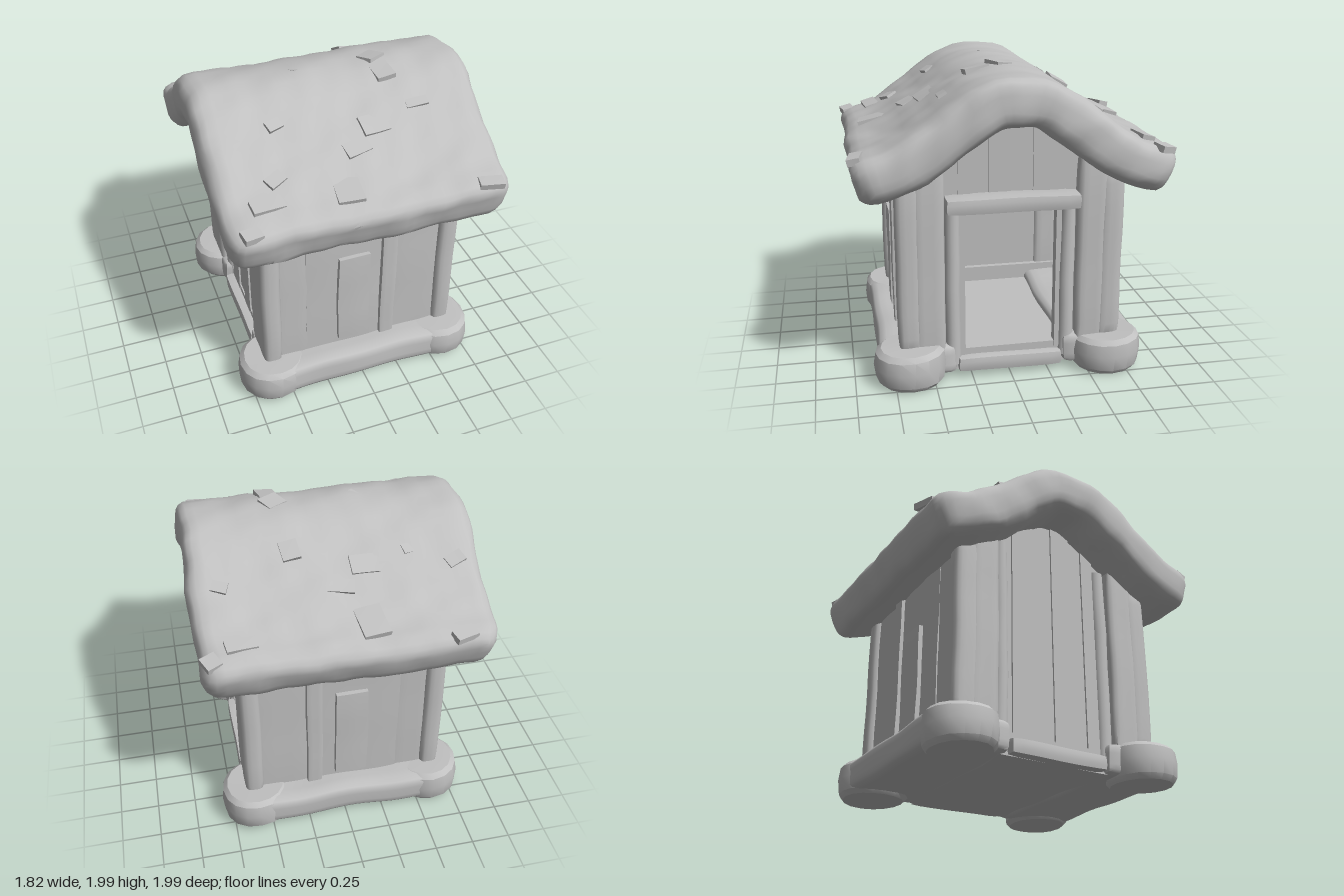
import * as THREE from 'three';
import { mergeVertices, toCreasedNormals } from 'three/addons/utils/BufferGeometryUtils.js';

const stone = new THREE.MeshStandardMaterial({ color: 0xc0c0c0 });
stone.name = 'plainGrey';

// Smooth, repeatable unevenness
const wave = (a, b, c) =>
  (Math.sin(a * 9.1 + b * 4.3 + 1.7) + Math.sin(b * 11.3 - c * 7.9 + 0.4) + Math.sin(c * 13.7 + a * 6.1)) / 3;

// Move every vertex by a rule
function deform(geometry, rule) {
  const pos = geometry.attributes.position;
  const v = new THREE.Vector3();
  for (let i = 0; i < pos.count; i++) {
    v.fromBufferAttribute(pos, i);
    rule(v);
    pos.setXYZ(i, v.x, v.y, v.z);
  }
  return geometry;
}

function finish(geometry, crease = 0.75) {
  geometry.deleteAttribute('uv');
  geometry.deleteAttribute('normal');
  const merged = mergeVertices(geometry, 1e-4);
  merged.computeVertexNormals();
  return toCreasedNormals(merged, crease);
}

// Subdivided box with rounded edges
function softBox(w, h, d, r, sx, sy, sz) {
  const half = new THREE.Vector3(w / 2 - r, h / 2 - r, d / 2 - r);
  const min = half.clone().negate();
  const core = new THREE.Vector3();
  return deform(new THREE.BoxGeometry(w, h, d, sx, sy, sz), (v) => {
    core.copy(v).clamp(min, half);
    v.sub(core).setLength(r).add(core);
  });
}

function roughen(geometry, amount, seed = 0, scale = 1) {
  return deform(geometry, (v) => {
    const [x, y, z] = [v.x * scale, v.y * scale, v.z * scale];
    v.x += amount * wave(y + seed, z, x);
    v.y += amount * wave(z, x + seed, y);
    v.z += amount * wave(x, y, z + seed);
  });
}

// Roof centre line, running from back eave to front eave
const half = [[0.95, 1.355], [0.68, 1.455], [0.455, 1.595], [0.22, 1.765], [0.11, 1.815]];
const roofLine = new THREE.CatmullRomCurve3([
  ...half.map(([z, y]) => new THREE.Vector3(0, y, -z)),
  new THREE.Vector3(0, 1.825, 0),
  ...[...half].reverse().map(([z, y]) => new THREE.Vector3(0, y, z)),
]);

function roofFrame(u) {
  const p = roofLine.getPointAt(u);
  const t = roofLine.getTangentAt(u);
  return { p, n: new THREE.Vector3(0, t.z, -t.y) };
}

// Frame at the place where the outer roof skin has the given z
function roofFrameAtZ(z) {
  let best = null;
  for (let i = 0; i <= 100; i++) {
    const f = roofFrame(i / 100);
    f.miss = Math.abs(f.p.z + f.n.z * 0.14 - z);
    if (!best || f.miss < best.miss) best = f;
  }
  return best;
}

export function createModel() {
  const model = new THREE.Group();
  const add = (name, geometry, x = 0, y = 0, z = 0) => {
    const mesh = new THREE.Mesh(geometry, stone);
    mesh.name = name;
    mesh.position.set(x, y, z);
    model.add(mesh);
    return mesh;
  };
  const board = (name, x0, x1, y0, y1, z0, z1) =>
    add(name, new THREE.BoxGeometry(x1 - x0, y1 - y0, z1 - z0), (x0 + x1) / 2, (y0 + y1) / 2, (z0 + z1) / 2);
  const log = (name, x, z, r, y0, y1) => {
    const g = new THREE.CylinderGeometry(r * 0.97, r, y1 - y0, 14, 6);
    add(name, finish(roughen(g, 0.006, x * 3 + z)), x, (y0 + y1) / 2, z);
  };

  // Thick thatched roof: a soft slab bent over the centre line
  const length = roofLine.getLength();
  const slab = softBox(1.79, 0.285, length + 0.02, 0.1, 30, 6, 40);
  deform(slab, (v) => {
    const u = THREE.MathUtils.clamp(v.z / length + 0.5, 0, 1);
    const { p, n } = roofFrame(u);
    const x = v.x * (1 - 0.04 * Math.pow(Math.abs(2 * u - 1), 6));
    v.set(x, p.y + n.y * v.y, p.z + n.z * v.y);
  });
  roughen(slab, 0.012);
  roughen(slab, 0.009, 3, 2.6);
  add('roof', finish(slab, 0.7));

  // Loose tufts on the roof: x, z, width, depth, turn
  const tufts = [
    [-0.14, -0.78, 0.16, 0.21, 0.1], [-0.16, -0.47, 0.17, 0.12, 0], [0, -0.57, 0.16, 0.09, -0.2],
    [0.27, -0.36, 0.11, 0.13, 0.1], [0.3, 0.03, 0.13, 0.12, 0.5], [0.32, 0.18, 0.12, 0.15, 0.1],
    [0.15, 0.46, 0.17, 0.12, 0.1], [0, 0.56, 0.16, 0.1, 0.2], [-0.13, 0.78, 0.16, 0.21, -0.1],
    [-0.62, 0.78, 0.2, 0.1, 0.1], [0.64, -0.82, 0.19, 0.08, 0.1], [-0.46, -0.41, 0.1, 0.06, 0.2],
    [-0.72, -0.5, 0.12, 0.08, 0.4], [0.71, -0.5, 0.1, 0.07, -0.4], [0.46, 0.4, 0.15, 0.06, 0],
    [-0.45, 0.38, 0.1, 0.07, 0.3], [-0.53, 0.65, 0.12, 0.08, 0.5], [-0.2, 0.03, 0.07, 0.06, 0.6],
    [-0.76, 0.93, 0.12, 0.08, 0.2], [0.72, 0.93, 0.16, 0.08, -0.2],
    [-0.66, -0.93, 0.16, 0.08, 0.3], [0.82, -0.89, 0.1, 0.1, 0.4],
  ];
  tufts.forEach(([x, z, w, d, turn], i) => {
    const { p, n } = roofFrameAtZ(z);
    const g = roughen(new THREE.BoxGeometry(w, 0.04, d, 2, 1, 2), 0.01, i);
    const tuft = add('roofTuft', finish(g, 0.5), x, p.y + n.y * 0.138, p.z + n.z * 0.138);
    tuft.rotation.set(Math.atan2(n.z, n.y) - 0.12 * Math.sign(z), turn, 0.06 * (i % 3 - 1));
  });

  // Floor and flat ceiling
  board('floor', -0.6, 0.6, 0.045, 0.19, -0.55, 0.55);
  board('ceiling', -0.55, 0.56, 1.13, 1.17, -0.64, 0.64);

  for (const side of [-1, 1]) {
    // Foundation beam with round corner stones
    const beam = softBox(1.32, 0.2, 0.5, 0.045, 22, 6, 10);
    add('foundationBeam', finish(roughen(beam, 0.013, side), 0.8), 0, 0.14, side * 0.59);
    for (const end of [-1, 1]) {
      const profile = [[0, 0], [0.195, 0], [0.22, 0.03], [0.23, 0.12], [0.22, 0.2], [0.19, 0.23], [0, 0.235]]
        .map(([r, y]) => new THREE.Vector2(r, y));
      const disc = roughen(new THREE.LatheGeometry(profile, 16), 0.012, side * 2 + end);
      add('cornerStone', finish(disc, 0.6), end * 0.592, 0.015, side * 0.643);

      // Corner post and the broad plank beside it
      const corner = softBox(0.13, 1.27, 0.16, 0.045, 5, 8, 5);
      add('cornerPost', finish(roughen(corner, 0.005, side), 0.9), end * 0.6, 0.785, side * 0.64);
      const broad = softBox(0.15, 1.36, 0.2, 0.035, 5, 8, 6);
      add('broadCornerPlank', finish(roughen(broad, 0.005, end), 0.9), end * 0.588, 0.83, side * 0.52);
    }

    // Long wall: a core board faced with softened planks of uneven depth
    const core = [side * 0.6, side * 0.67].sort((a, b) => a - b);
    board('wallCore', -0.57, 0.57, 0.15, 1.4, core[0], core[1]);
    const edges = [-0.56, -0.36, 0.15, 0.235, 0.56];
    const depths = [0.685, 0.69, 0.715, 0.685];
    depths.forEach((out, i) => {
      const plank = softBox(edges[i + 1] - edges[i] + 0.02, 1.25, 0.08, 0.012, 6, 8, 3);
      add('wallPlank', finish(roughen(plank, 0.005, i)), (edges[i] + edges[i + 1]) / 2, 0.775, side * (out - 0.04));
    });

    // Shutter showing on both faces of the wall
    const shutter = softBox(0.22, 0.69, 0.14, 0.012, 3, 6, 2);
    add('shutter', finish(roughen(shutter, 0.006, side)), -0.05, 0.635, side * 0.65);
  }

  // End walls: gable planks over the doorway, full planks opposite
  const cuts = [-0.43, -0.3, -0.14, 0, 0.14, 0.24, 0.33, 0.43];
  for (let i = 0; i < cuts.length - 1; i++) {
    const mid = Math.abs(cuts[i] + cuts[i + 1]) / 2;
    const top = 1.79 - 0.76 * Math.max(0, mid - 0.1);
    const shift = 0.012 * (i % 2);
    board('gablePlank', 0.53, 0.59 + shift, 1.14, top, cuts[i], cuts[i + 1]);
    board('endWallPlank', -0.59 - shift, -0.53, 0.12, top, cuts[i], cuts[i + 1]);
  }
  board('innerSkirting', -0.54, -0.49, 0.17, 0.3, -0.6, 0.6);

  // Doorway: lintel, posts, jambs and step
  const lintel = softBox(0.19, 0.1, 0.84, 0.02, 3, 3, 12);
  add('lintel', finish(roughen(lintel, 0.006)), 0.645, 1.18, 0);
  for (const side of [-1, 1]) {
    log('doorPost', 0.59, side * 0.37, 0.05, 0.1, 1.15);
    log('endWallPost', -0.58, side * 0.38, 0.05, 0.1, 1.45);
    const z = side * 0.31;
    board('doorJamb', 0.54, 0.61, 0.15, 1.13, z - 0.018, z + 0.018);
  }
  for (const end of [-1, 1]) {
    const sill = softBox(0.12, 0.1, 0.68, 0.02, 3, 3, 10);
    add('sill', finish(roughen(sill, 0.006, end)), end * 0.6, 0.095, 0);
  }
  return model;
}
